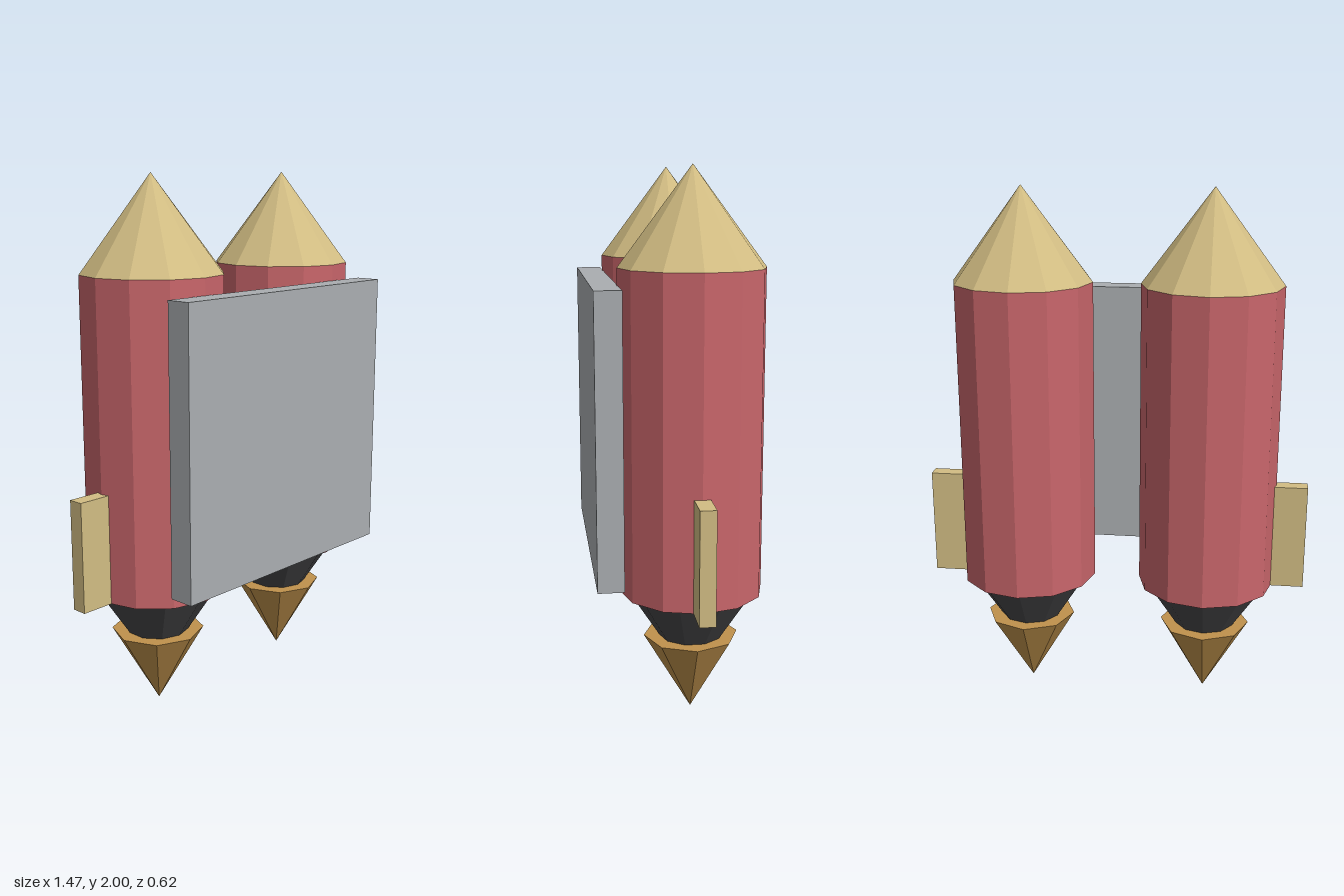
import * as THREE from 'three';

const paint = (name, color) => {
  const m = new THREE.MeshStandardMaterial({ color, flatShading: true });
  m.name = name;
  return m;
};

export function createModel() {
  const red = paint('tankRed', 0xc9666b);
  const tan = paint('sandTan', 0xd2bd83);
  const dark = paint('nozzleCharcoal', 0x474749);
  const orange = paint('flameOrange', 0xc0924c);
  const grey = paint('plateGrey', 0xaaaeb1);

  const model = new THREE.Group();
  model.name = 'jetpack';

  const add = (parent, name, geometry, material, x, y, z) => {
    const mesh = new THREE.Mesh(geometry, material);
    mesh.name = name;
    mesh.position.set(x, y, z);
    parent.add(mesh);
  };
  // Faceted round part spanning y0 to y1
  const round = (parent, name, rTop, rBottom, y0, y1, sides, material) =>
    add(parent, name, new THREE.CylinderGeometry(rTop, rBottom, y1 - y0, sides),
      material, 0, (y0 + y1) / 2, 0);

  // Two mirrored boosters
  for (const side of [1, -1]) {
    const booster = new THREE.Group();
    booster.name = side > 0 ? 'leftBooster' : 'rightBooster';
    booster.position.set(side * 0.353, 0, -0.046);
    round(booster, 'tank', 0.264, 0.264, 0.475, 1.65, 12, red);
    round(booster, 'noseCone', 0, 0.264, 1.65, 2, 12, tan);
    round(booster, 'nozzle', 0.235, 0.118, 0.295, 0.475, 10, dark);
    round(booster, 'flame', 0.175, 0, 0, 0.295, 8, orange);
    // Side fin, rooted inside the tank
    add(booster, 'fin', new THREE.BoxGeometry(0.236, 0.41, 0.058), tan, side * 0.264, 0.68, 0);
    model.add(booster);
  }

  // Plate joining the tanks at the front
  add(model, 'backPlate', new THREE.BoxGeometry(1.054, 1.056, 0.096), grey, 0, 1.061, 0.262);
  return model;
}
